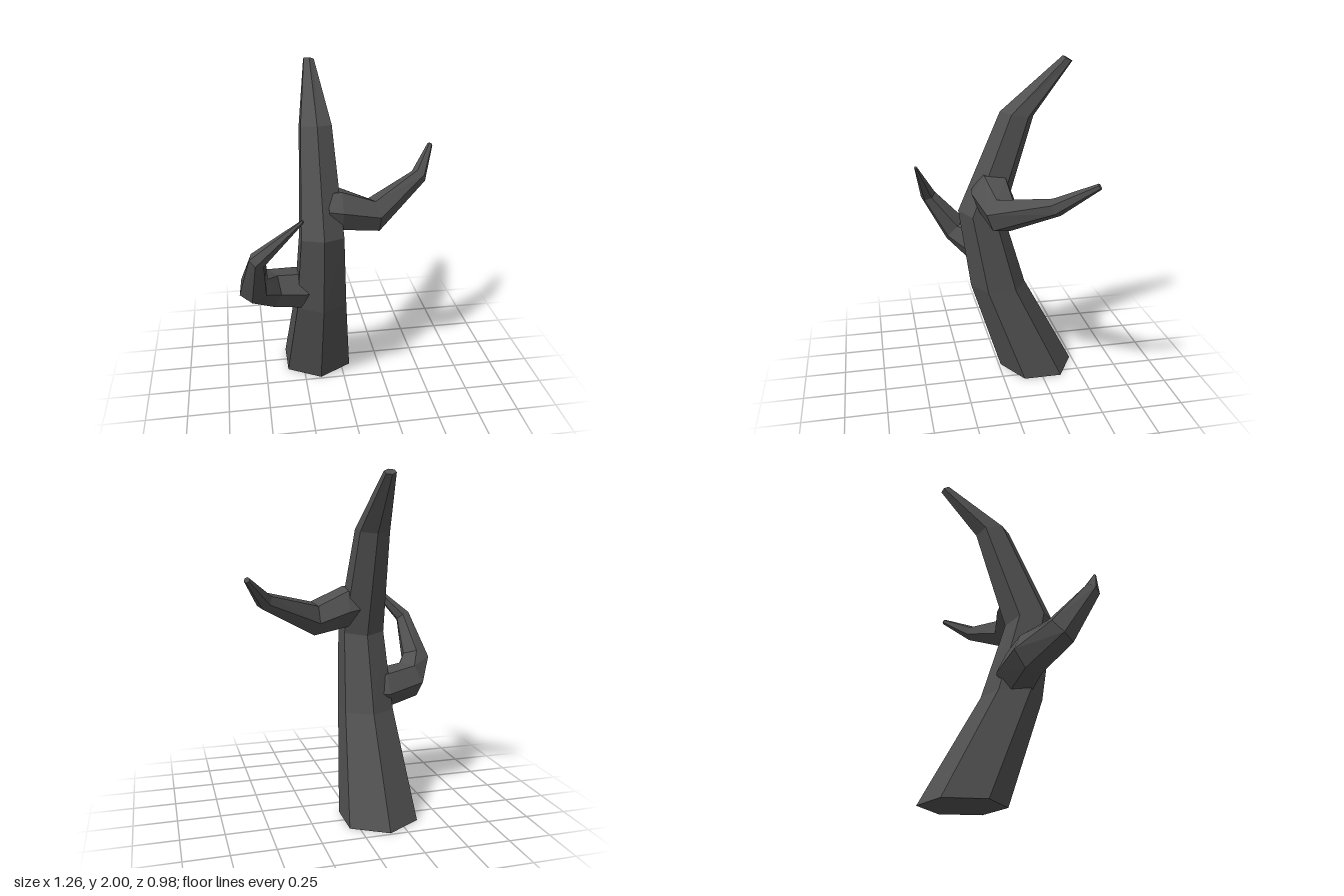
import * as THREE from 'three';

const SIDES = 6;
const V = (a) => new THREE.Vector3(...a);

// Six-sided limb lofted through rings { p: centre, r: radius, n: optional ring normal };
// ref is the direction of the first corner and is carried along the limb.
function limb(name, rings, ref, material) {
  const pts = rings.map((g) => V(g.p));
  const pos = [];
  const index = [];
  const u = V(ref);
  rings.forEach((g, i) => {
    const n = new THREE.Vector3();
    if (g.n) n.copy(V(g.n));
    else {
      if (i > 0) n.add(pts[i].clone().sub(pts[i - 1]).normalize());
      if (i < pts.length - 1) n.add(pts[i + 1].clone().sub(pts[i]).normalize());
    }
    n.normalize();
    u.addScaledVector(n, -u.dot(n)).normalize();
    const w = n.clone().cross(u);
    for (let k = 0; k < SIDES; k++) {
      const a = (k / SIDES) * Math.PI * 2;
      const q = pts[i].clone()
        .addScaledVector(u, Math.cos(a) * g.r)
        .addScaledVector(w, Math.sin(a) * g.r);
      pos.push(q.x, q.y, q.z);
    }
  });
  // side walls
  for (let i = 0; i < rings.length - 1; i++) {
    for (let k = 0; k < SIDES; k++) {
      const a = i * SIDES + k;
      const b = i * SIDES + ((k + 1) % SIDES);
      index.push(a, b, b + SIDES, a, b + SIDES, a + SIDES);
    }
  }
  // end caps
  const t = (rings.length - 1) * SIDES;
  for (let k = 1; k < SIDES - 1; k++) {
    index.push(0, k + 1, k, t, t + k, t + k + 1);
  }
  const geo = new THREE.BufferGeometry();
  geo.setAttribute('position', new THREE.Float32BufferAttribute(pos, 3));
  geo.setIndex(index);
  const flat = geo.toNonIndexed();
  flat.computeVertexNormals();
  const mesh = new THREE.Mesh(flat, material);
  mesh.name = name;
  return mesh;
}

export function createModel() {
  const group = new THREE.Group();
  group.name = 'bareTree';
  const bark = new THREE.MeshStandardMaterial({ color: 0x505050, flatShading: true });

  // leaning trunk, bent forward and then back to a narrow tip
  group.add(limb('trunk', [
    { p: [-0.15, 0, -0.25], r: 0.237, n: [0, 1, 0] },
    { p: [-0.15, 0.6, 0.005], r: 0.172, n: [0, 1, 0] },
    { p: [-0.15, 1.075, 0.108], r: 0.142, n: [0, 1, -0.18] },
    { p: [-0.15, 1.675, -0.11], r: 0.102, n: [0, 1, -0.15] },
    { p: [-0.148, 1.985, -0.408], r: 0.034, n: [0.12, 0.85, -0.45] },
  ], [0, 0, 1], bark));

  // upper branch, sweeping outwards and back
  group.add(limb('leftBranch', [
    { p: [-0.11, 1.23, 0.06], r: 0.11, n: [1, 0, 0] },
    { p: [-0.03, 1.22, 0.058], r: 0.127, n: [1, 0, 0] },
    { p: [0.17, 1.16, 0.035], r: 0.103, n: [0.96, 0.08, -0.26] },
    { p: [0.49, 1.302, -0.185], r: 0.05 },
    { p: [0.608, 1.438, -0.375], r: 0.017 },
  ], [0, 0.14, 1], bark));

  // lower branch, hooking forwards and up
  group.add(limb('rightBranch', [
    { p: [-0.19, 0.71, 0.03], r: 0.11, n: [-1, 0, 0] },
    { p: [-0.27, 0.71, 0.03], r: 0.125, n: [-1, 0, 0.1] },
    { p: [-0.455, 0.742, 0.073], r: 0.115, n: [-0.84, 0.17, 0.5] },
    { p: [-0.555, 0.835, 0.215], r: 0.093, n: [-0.32, 0.62, 0.63] },
    { p: [-0.53, 1.093, 0.393], r: 0.05 },
    { p: [-0.29, 1.342, 0.482], r: 0.009 },
  ], [0, 0.1, 1], bark));

  return group;
}
